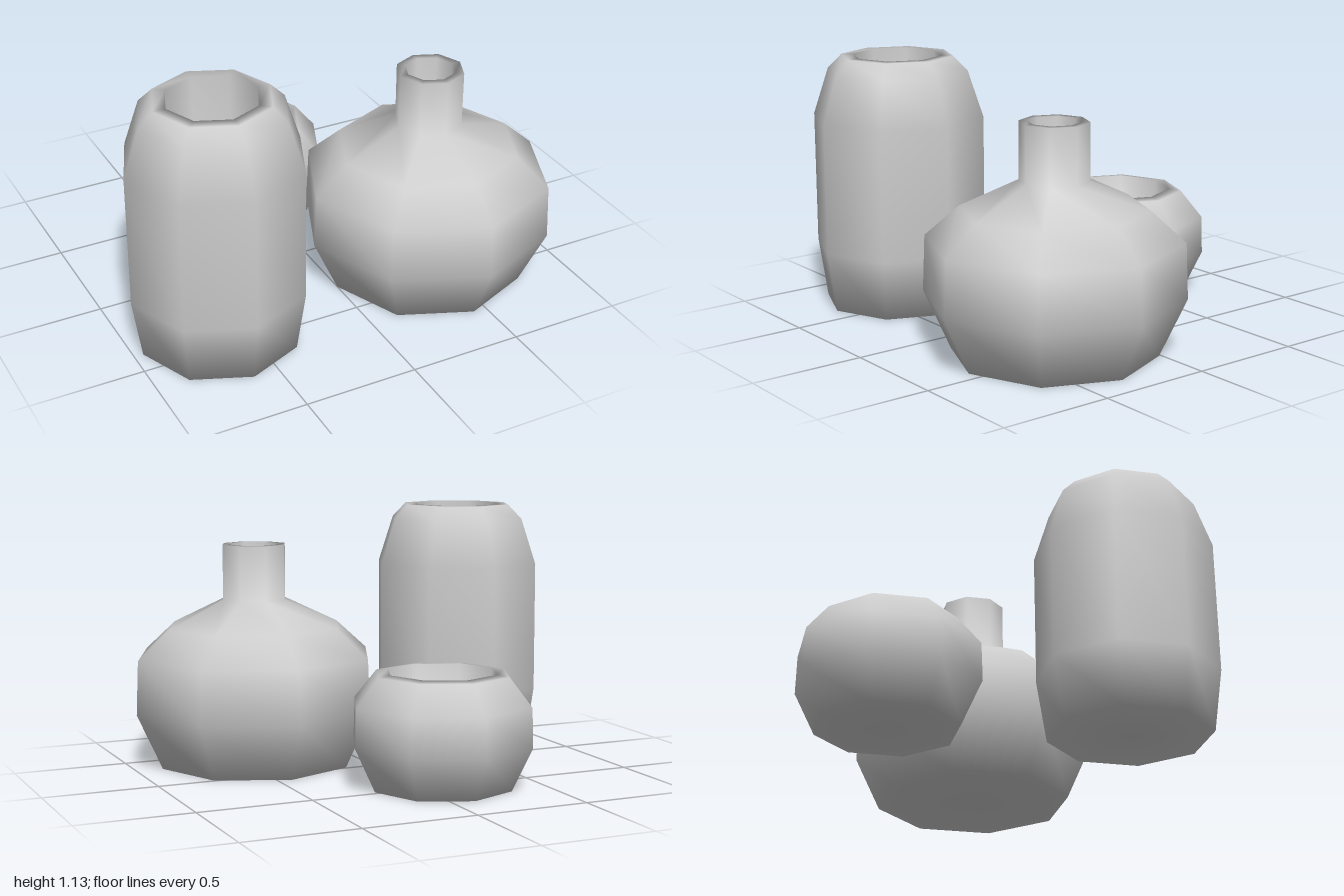
import * as THREE from 'three';

const SIDES = 8;

// Smooth eight-sided vessel: profile runs from the base centre, up the outside,
// over the rim and down the inside to the floor centre.
function vessel(name, x, z, profile) {
  const points = profile.map(([r, y]) => new THREE.Vector2(r, y));
  const material = new THREE.MeshStandardMaterial({ color: 0xcccccc });
  const mesh = new THREE.Mesh(new THREE.LatheGeometry(points, SIDES), material);
  mesh.name = name;
  mesh.position.set(x, 0, z);
  return mesh;
}

export function createModel() {
  const group = new THREE.Group();
  group.name = 'vaseSet';

  // Tall barrel-shaped vase
  group.add(vessel('tallVase', -0.61, 0.39, [
    [0, 0], [0.35, 0], [0.39, 0.27], [0.39, 0.86], [0.32, 1.07], [0.255, 1.135],
    [0.2, 1.135], [0.2, 0.45], [0, 0.45],
  ]));

  // Wide flask with a narrow neck
  group.add(vessel('neckedVase', 0.44, 0.32, [
    [0, 0], [0.44, 0], [0.555, 0.25], [0.545, 0.49], [0.4, 0.62], [0.148, 0.74],
    [0.148, 0.985], [0.11, 0.985], [0.1, 0.6], [0, 0.6],
  ]));

  // Low round bowl
  group.add(vessel('bowl', -0.1, -0.48, [
    [0, 0], [0.31, 0], [0.4, 0.19], [0.395, 0.36], [0.295, 0.483],
    [0.24, 0.49], [0.22, 0.25], [0, 0.12],
  ]));

  return group;
}
